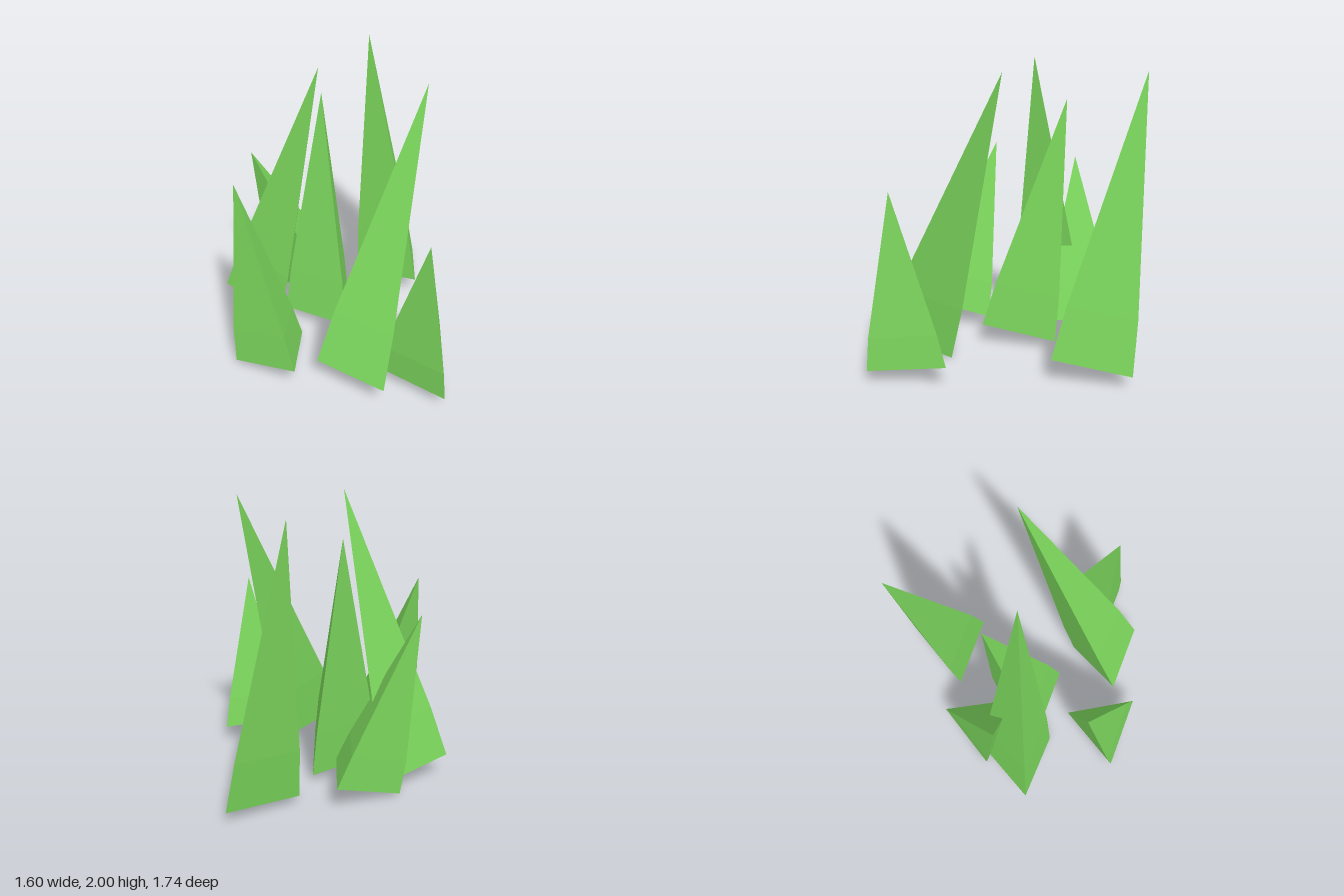
import * as THREE from 'three';

// Each blade: centre of its base, then its tip
const BLADES = [
  { name: 'backRightBlade', base: [0.502, 0.102, -0.58], tip: [0.24, 1.94, -0.867] },
  { name: 'frontLeftBlade', base: [-0.342, 0.105, 0.49], tip: [-0.612, 1.33, 0.24] },
  { name: 'centreBlade', base: [-0.025, 0.1, -0.04], tip: [-0.075, 1.725, -0.338] },
  { name: 'tallLeftBlade', base: [-0.51, 0.106, -0.2], tip: [-0.08, 2.0, -0.115] },
  { name: 'backShortBlade', base: [-0.18, 0.112, -0.455], tip: [-0.58, 1.24, -0.36] },
  { name: 'frontLeaningBlade', base: [0.237, 0.115, 0.623], tip: [0.617, 1.95, -0.015] },
  { name: 'frontShortBlade', base: [0.65, 0.102, 0.575], tip: [0.64, 1.21, 0.7] },
];

// Three-sided spike with a slight shoulder near the base
function bladeGeometry(height) {
  const profile = [[0, 0], [0.3, 0], [0.26, 0.19 * height], [0, height]]
    .map(([r, y]) => new THREE.Vector2(r, y));
  const geometry = new THREE.LatheGeometry(profile, 3, -Math.PI / 2).toNonIndexed();
  geometry.computeVertexNormals();
  return geometry;
}

export function createModel() {
  const group = new THREE.Group();
  group.name = 'grassTuft';
  const green = new THREE.MeshStandardMaterial({ color: 0x7bd55c, flatShading: true });
  green.name = 'grassGreen';
  const up = new THREE.Vector3(0, 1, 0);

  for (const { name, base, tip } of BLADES) {
    const foot = new THREE.Vector3(...base);
    const axis = new THREE.Vector3(...tip).sub(foot);
    const blade = new THREE.Mesh(bladeGeometry(axis.length()), green);
    blade.name = name;
    blade.position.copy(foot);
    blade.quaternion.setFromUnitVectors(up, axis.normalize());
    group.add(blade);
  }
  return group;
}
